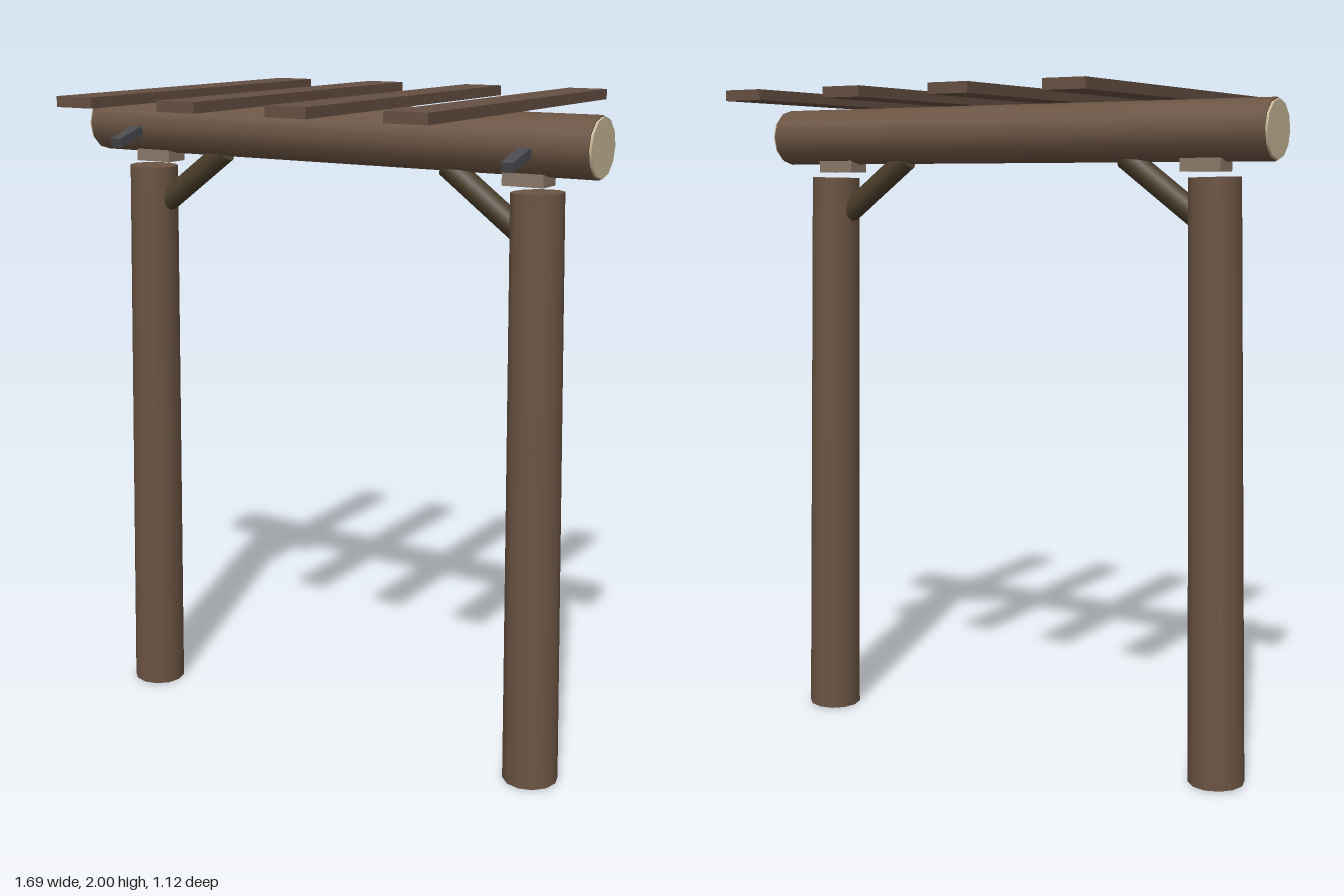
import * as THREE from 'three';

const paint = (name, color) => {
  const m = new THREE.MeshStandardMaterial({ color });
  m.name = name;
  return m;
};

export function createModel() {
  const model = new THREE.Group();
  model.name = 'pergola';
  const log = paint('log brown', 0x6b5443);
  const plank = paint('plank brown', 0x654f42);
  const braceWood = paint('dark brace wood', 0x4a3d2a);
  const joint = paint('joint wood', 0x8a7868);
  const cut = paint('cut end wood', 0xc8b898);
  const iron = paint('iron', 0x4a4b4f);

  const add = (name, geometry, material, x, y, z) => {
    const mesh = new THREE.Mesh(geometry, material);
    mesh.name = name;
    mesh.position.set(x, y, z);
    model.add(mesh);
    return mesh;
  };

  // Round timber running between two points
  const pole = (name, from, to, r0, r1, sides, material) => {
    const a = new THREE.Vector3(...from), b = new THREE.Vector3(...to);
    const dir = b.clone().sub(a);
    const mid = a.clone().add(b).multiplyScalar(0.5);
    const mesh = add(name, new THREE.CylinderGeometry(r1, r0, dir.length(), sides), material, mid.x, mid.y, mid.z);
    mesh.quaternion.setFromUnitVectors(new THREE.Vector3(0, 1, 0), dir.normalize());
    return mesh;
  };

  // Main crossbeam
  pole('crossbeam', [-0.838, 1.882, 0], [0.838, 1.882, 0], 0.086, 0.086, 12, log);

  for (const s of [-1, 1]) {
    const side = s > 0 ? 'left' : 'right';
    // Leaning post, joint block and diagonal brace
    pole(side + 'Post', [s * 0.702, 0.002, 0], [s * 0.66, 1.754, 0], 0.083, 0.075, 12, log);
    add(side + 'JointBlock', new THREE.BoxGeometry(0.124, 0.06, 0.08), joint, s * 0.632, 1.8, 0);
    pole(side + 'Brace', [s * 0.64, 1.622, 0], [s * 0.382, 1.812, 0], 0.035, 0.035, 10, braceWood);
    // Pale cut end of the beam
    pole(side + 'BeamEnd', [s * 0.836, 1.882, 0], [s * 0.845, 1.882, 0], 0.082, 0.082, 12, cut);
    // Iron peg sloping down to the front
    const peg = add(side + 'Peg', new THREE.BoxGeometry(0.036, 0.028, 0.14), iron, s * 0.656, 1.856, 0.12);
    peg.rotation.x = 0.28;
  }

  // Roof slats
  for (let i = 0; i < 4; i++) {
    add('slat' + (i + 1), new THREE.BoxGeometry(0.124, 0.03, 1.12), plank, -0.492 + i * 0.35, 1.985, 0);
  }
  return model;
}
